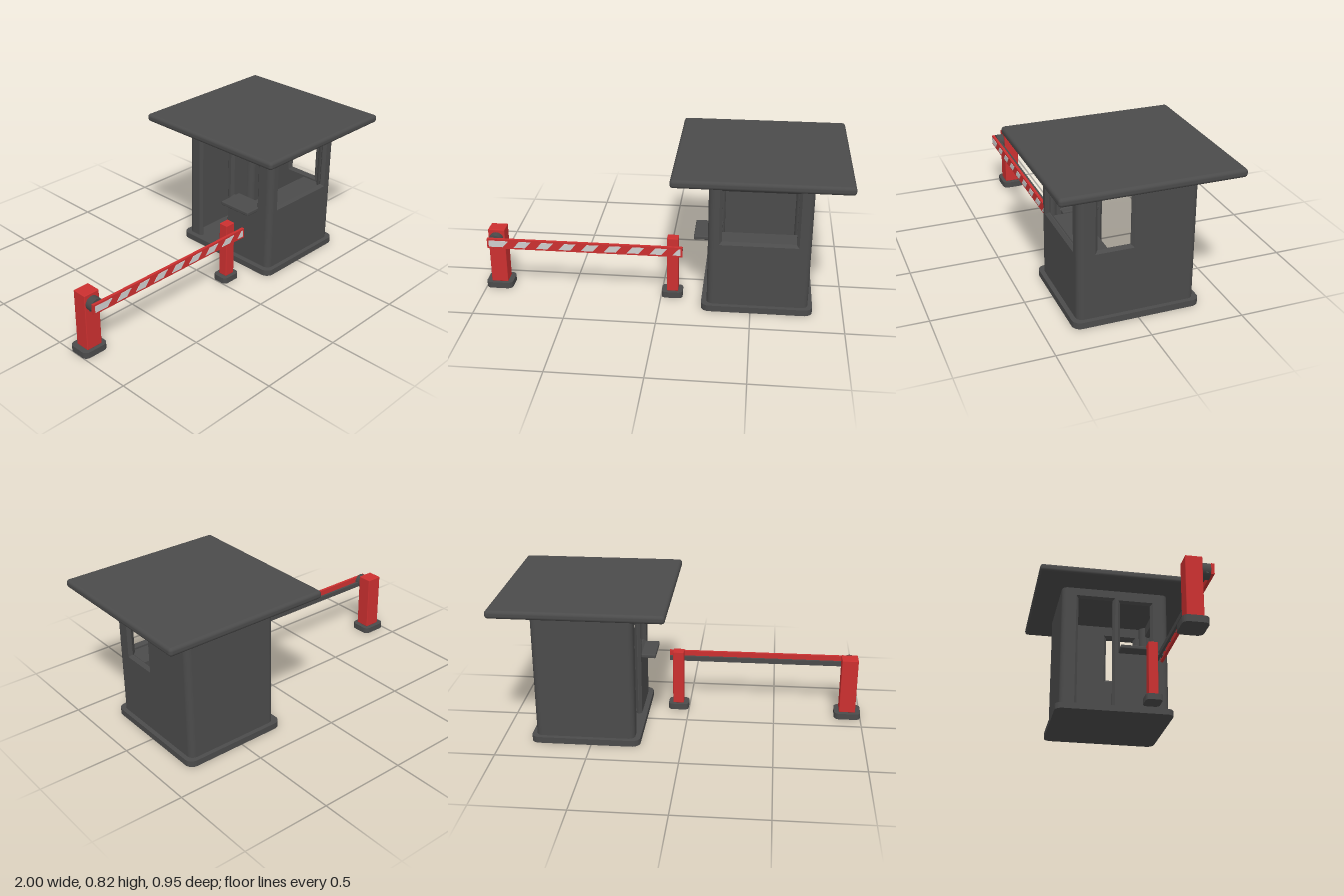
import * as THREE from 'three';
import { toCreasedNormals } from 'three/addons/utils/BufferGeometryUtils.js';
import { RoundedBoxGeometry } from 'three/addons/geometries/RoundedBoxGeometry.js';

const make = (name, color) => {
  const m = new THREE.MeshStandardMaterial({ color });
  m.name = name;
  return m;
};

export function createModel() {
  const dark = make('dark grey', 0x4b4b4b);
  const red = make('signal red', 0xcc3030);
  const white = make('reflective white', 0xcfcfcf);

  const root = new THREE.Group();
  root.name = 'checkpoint';
  const group = (name) => {
    const g = new THREE.Group();
    g.name = name;
    root.add(g);
    return g;
  };
  const add = (parent, name, geo, mat) => {
    const m = new THREE.Mesh(geo, mat);
    m.name = name;
    parent.add(m);
    return m;
  };
  // Box given by its minimum and maximum corners
  const box = (parent, name, mat, [x0, y0, z0], [x1, y1, z1], r = 0) => {
    const s = [x1 - x0, y1 - y0, z1 - z0];
    const geo = r ? new RoundedBoxGeometry(...s, 3, r) : new THREE.BoxGeometry(...s);
    add(parent, name, geo, mat).position.set((x0 + x1) / 2, (y0 + y1) / 2, (z0 + z1) / 2);
  };
  // Slab standing on the ground with rounded plan corners
  const slab = (parent, name, x0, x1, z0, z1, h, r) => {
    const s = new THREE.Shape();
    const a = (x1 - x0) / 2, b = (z1 - z0) / 2;
    s.absarc(a - r, b - r, r, 0, Math.PI / 2);
    s.absarc(r - a, b - r, r, Math.PI / 2, Math.PI);
    s.absarc(r - a, r - b, r, Math.PI, Math.PI * 1.5);
    s.absarc(a - r, r - b, r, Math.PI * 1.5, Math.PI * 2);
    const geo = new THREE.ExtrudeGeometry(s, { depth: h, bevelEnabled: false, curveSegments: 6 });
    geo.rotateX(-Math.PI / 2);
    add(parent, name, toCreasedNormals(geo, 0.6), dark).position.set((x0 + x1) / 2, 0, (z0 + z1) / 2);
  };
  const points = (list) => list.map(([x, y]) => new THREE.Vector2(x, y));
  const rect = (x0, x1, y0, y1) => points([[x0, y0], [x1, y0], [x1, y1], [x0, y1]]);

  // ---- Booth ----
  const booth = group('booth');
  const X0 = 0.26, X1 = 0.81, Z = 0.32, T = 0.035, B = 0.015, Y0 = 0.02, Y1 = 0.785;
  slab(booth, 'boothBase', 0.23, 0.835, -0.345, 0.345, 0.035, 0.045);
  box(booth, 'roof', dark, [0.07, 0.777, -0.475], [1, 0.822, 0.475], 0.018);

  // Wall panel whose openings have chamfered edges
  const wall = (name, outline, holes) => {
    const s = new THREE.Shape(outline);
    holes.forEach((h) => s.holes.push(new THREE.Path(h)));
    const geo = new THREE.ExtrudeGeometry(s, {
      depth: T - 2 * B, bevelThickness: B, bevelSize: B, bevelSegments: 1,
    });
    geo.translate(0, 0, B);
    return add(booth, name, geo, dark);
  };
  const face = rect(X0 + T, X1 - T, Y0, Y1);
  wall('frontWall', face, [rect(0.32, 0.745, 0.395, 0.718)]).position.z = Z - T;
  wall('backWall', face, []).position.z = -Z;

  // Side walls, drawn along -z
  const e = Z - T;
  const serving = rect(-0.227, -0.02, 0.395, 0.716);
  const right = wall('windowSideWall', rect(-e, e, Y0, Y1), [serving]);
  right.position.x = X1 - T;
  const doorway = points([
    [-e, Y0], [0, Y0], [0, 0.73], [0.235, 0.73], [0.235, Y0], [e, Y0], [e, Y1], [-e, Y1],
  ]);
  const left = wall('doorSideWall', doorway, [rect(-0.23, -0.018, 0.393, 0.718)]);
  left.position.x = X0;
  right.rotation.y = left.rotation.y = Math.PI / 2;

  // Rounded wall corners
  for (const x of [X0 + T, X1 - T]) {
    for (const z of [-e, e]) {
      add(booth, 'cornerPost', new THREE.CylinderGeometry(T, T, Y1 - Y0, 20), dark)
        .position.set(x, (Y0 + Y1) / 2, z);
    }
  }
  box(booth, 'servingCounter', dark, [0.18, 0.372, 0.02], [0.33, 0.395, 0.225], 0.006);
  box(booth, 'desk', dark, [0.33, 0.365, 0.14], [X1 - T, 0.385, Z - T]);

  // ---- Barrier ----
  const barrier = group('barrier');
  slab(barrier, 'motorPostFoot', -1, -0.85, 0.085, 0.215, 0.035, 0.03);
  box(barrier, 'motorPost', red, [-0.97, 0.034, 0.11], [-0.877, 0.36, 0.195], 0.004);
  slab(barrier, 'restPostFoot', 0.003, 0.12, 0.13, 0.225, 0.035, 0.025);
  box(barrier, 'restPost', red, [0.032, 0.034, 0.15], [0.095, 0.36, 0.205], 0.004);
  box(barrier, 'restBracket', dark, [0.045, 0.285, 0.2], [0.082, 0.3, 0.24]);

  const hub = add(barrier, 'pivotHub', new THREE.CylinderGeometry(0.04, 0.04, 0.045, 24), dark);
  hub.rotation.x = Math.PI / 2;
  hub.position.set(-0.925, 0.305, 0.215);

  box(barrier, 'boom', red, [-0.963, 0.275, 0.238], [0.122, 0.332, 0.254]);
  box(barrier, 'boomRail', dark, [-0.96, 0.28, 0.212], [0.12, 0.308, 0.226]);

  // Slanted reflective stripes and the spacers behind them
  const lo = -0.953, hi = 0.112;
  const clip = (x) => Math.min(hi, Math.max(lo, x));
  for (let i = 0; i < 9; i++) {
    const x = -0.94 + i * 0.126;
    const start = i === 0 ? lo : x;
    const s = new THREE.Shape(points([
      [clip(start), 0.285], [clip(x + 0.065), 0.285],
      [clip(x + 0.097), 0.322], [clip(i === 0 ? lo : x + 0.032), 0.322],
    ]));
    const geo = new THREE.ExtrudeGeometry(s, { depth: 0.003, bevelEnabled: false });
    add(barrier, 'stripe', geo, white).position.z = 0.2535;
    box(barrier, 'railSpacer', dark, [x + 0.04, 0.288, 0.224], [x + 0.048, 0.3, 0.24]);
  }
  return root;
}
